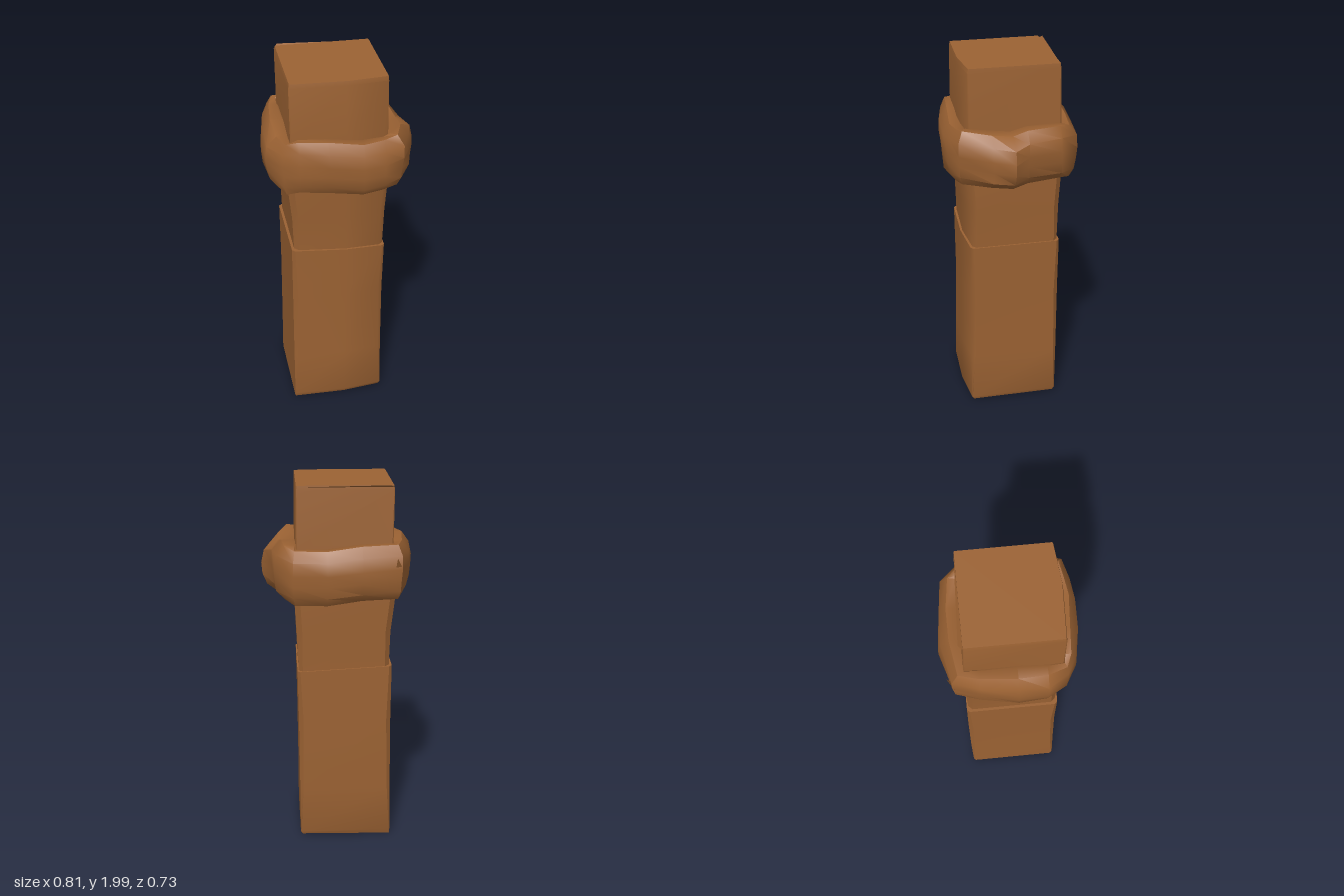
import * as THREE from 'three';
import { toCreasedNormals } from 'three/addons/utils/BufferGeometryUtils.js';

// Skins a stack of equal-length rings; rings run clockwise seen from above when flip is set
function loft(rings, caps, crease) {
  const n = rings[0].length, pos = rings.flat(2), idx = [];
  for (let i = 0; i < rings.length - 1; i++) {
    for (let j = 0; j < n; j++) {
      const a = i * n + j, b = i * n + (j + 1) % n;
      idx.push(a, a + n, b, b, a + n, b + n);
    }
  }
  if (caps) {
    const t = (rings.length - 1) * n;
    for (let j = 1; j < n - 1; j++) {
      idx.push(0, j, j + 1, t, t + j + 1, t + j);
    }
  }
  const g = new THREE.BufferGeometry();
  g.setAttribute('position', new THREE.Float32BufferAttribute(pos, 3));
  g.setIndex(idx);
  return toCreasedNormals(g, crease);
}

// Rough rectangular section with chamfered corners and a slightly bowed front
function section([y, x0, x1, z0, z1, c], tilt = 0) {
  return [
    [x0 + c, z1 - 0.012], [(x0 + x1) / 2 + 0.035, z1], [x1 - c, z1 - 0.02],
    [x1, z1 - 0.02 - c], [x1, z0 + c], [x1 - c, z0], [x0 + c, z0],
    [x0, z0 + c], [x0, z1 - 0.012 - c],
  ].map(([x, z]) => [x, y + tilt * x, z]).reverse();
}

export function createModel() {
  const wood = new THREE.MeshStandardMaterial({ color: 0x9b6233, side: THREE.DoubleSide });
  wood.name = 'brown wood';
  const model = new THREE.Group();
  const add = (name, geometry) => {
    const m = new THREE.Mesh(geometry, wood);
    m.name = name;
    model.add(m);
  };

  // Lower shaft: y, x range, z range, chamfer
  add('lowerShaft', loft([
    section([0.008, -0.29, 0.205, -0.232, 0.255, 0.004], 0.02),
    section([0.03, -0.29, 0.212, -0.24, 0.265, 0.004]),
    section([0.3, -0.288, 0.212, -0.247, 0.262, 0.018]),
    section([0.7, -0.286, 0.215, -0.25, 0.258, 0.025]),
    section([1.0, -0.288, 0.22, -0.25, 0.26, 0.015], 0.05 * -1),
  ], true, 0.7));

  // Upper shaft, flared where the collar grips it
  add('upperShaft', loft([
    section([0.97, -0.272, 0.212, -0.24, 0.248, 0.02]),
    section([1.2, -0.28, 0.222, -0.246, 0.255, 0.03]),
    section([1.38, -0.3, 0.232, -0.255, 0.272, 0.03]),
    section([1.5, -0.3, 0.23, -0.255, 0.275, 0.02]),
    section([1.68, -0.286, 0.222, -0.246, 0.268, 0.006]),
    section([1.97, -0.29, 0.22, -0.24, 0.266, 0.004]),
    section([1.993, -0.285, 0.218, -0.238, 0.262, 0.004]),
  ], true, 0.7));

  // Lumpy collar: outer plan outline swept with a bulging profile
  const outline = [
    [-0.33, -0.31], [-0.12, -0.365], [0.06, -0.35], [0.24, -0.33], [0.335, -0.225],
    [0.35, -0.05], [0.405, 0.03], [0.375, 0.14], [0.295, 0.31], [0.19, 0.35],
    [0.08, 0.362], [-0.1, 0.35], [-0.25, 0.325], [-0.33, 0.275], [-0.405, 0.17],
    [-0.41, 0.02], [-0.375, -0.17],
  ];
  // share of the way from the post to the outline, height
  const profile = [
    [-0.3, 1.43], [0.1, 1.395], [0.55, 1.385], [0.88, 1.43], [0.94, 1.49],
    [1, 1.55], [0.93, 1.62], [0.55, 1.675], [0.1, 1.675], [-0.3, 1.64],
  ];
  const clamp = THREE.MathUtils.clamp;
  const rings = profile.map(([t, y], i) => outline.map(([x, z], j) => {
    const px = clamp(x, -0.285, 0.22), pz = clamp(z, -0.24, 0.255);
    const lump = 0.06 * Math.sin(j * 2.3 + i * 1.4) * (t > 0.5 && t < 1 ? 1 : 0);
    const k = t + lump;
    return [px + (x - px) * k, y + 0.014 * Math.sin(j * 1.7 + 0.6) - 0.02 * x, pz + (z - pz) * k];
  }).reverse());
  // Ring order is reversed so the outside faces outward
  add('collar', loft(rings.map((r) => r.slice()), false, 0.8));

  // Dents and raised seams left by rough carving, as thin slivers
  const sliver = (name, pts) => {
    const g = new THREE.BufferGeometry();
    g.setAttribute('position', new THREE.Float32BufferAttribute(pts, 3));
    g.computeVertexNormals();
    add(name, g);
  };
  sliver('topSplinterBack', [-0.27, 1.995, -0.26, -0.29, 1.98, -0.235, 0.2, 1.985, -0.24]);
  sliver('collarSplinter', [-0.3, 1.63, -0.335, -0.335, 1.56, -0.3, -0.29, 1.53, -0.3]);
  return model;
}
